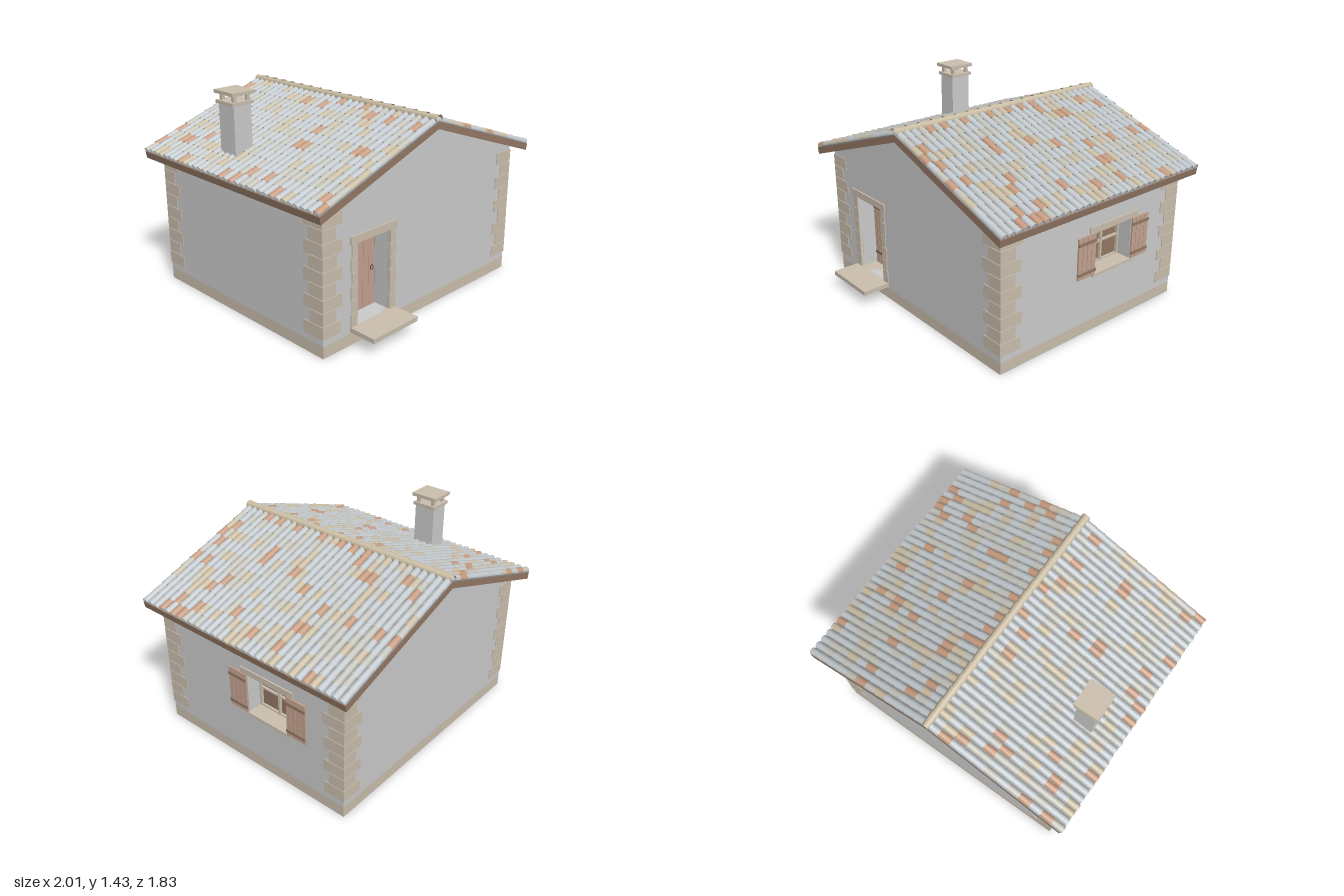
import * as THREE from 'three';
import { mergeGeometries } from 'three/addons/utils/BufferGeometryUtils.js';

const colour = (name, hex, side = THREE.FrontSide) => {
  const m = new THREE.MeshStandardMaterial({ color: hex, side });
  m.name = name;
  return m;
};

export function createModel() {
  const house = new THREE.Group();
  house.name = 'stoneCottage';
  const D = THREE.DoubleSide;
  const mat = {
    wall: colour('plaster', 0xcccccc),
    stone: colour('stone', 0xcbbfae),
    wood: colour('lightWood', 0xc3a390),
    beam: colour('darkWood', 0x947865),
    iron: colour('iron', 0x5a4c42),
    pan: colour('shadedTile', 0x8e9192),
    grey: colour('greyTile', 0xc2c8cc, D),
    warm: colour('warmGreyTile', 0xc4c3ba, D),
    tan: colour('tanTile', 0xcabda4, D),
    clay: colour('clayTile', 0xc79c80, D),
  };
  const add = (name, geo, m, parent = house) => {
    const mesh = new THREE.Mesh(geo, m);
    mesh.name = name;
    parent.add(mesh);
    return mesh;
  };
  // Box given by its limits on each axis
  const block = (x0, x1, y0, y1, z0, z1) =>
    new THREE.BoxGeometry(x1 - x0, y1 - y0, z1 - z0)
      .translate((x0 + x1) / 2, (y0 + y1) / 2, (z0 + z1) / 2);
  const box = (name, m, b, parent) => add(name, block(...b), m, parent);
  const shapeOf = (pts) => new THREE.Shape(pts.map(([x, y]) => new THREE.Vector2(x, y)));
  const rect = (x0, x1, y0, y1) => [[x0, y0], [x1, y0], [x1, y1], [x0, y1]];
  const extrude = (shape, depth) => new THREE.ExtrudeGeometry(shape, { depth, bevelEnabled: false });
  let seed = 7;
  const rand = () => (seed = (seed * 16807) % 2147483647) / 2147483647;

  // Main dimensions
  const W = 0.9, FRONT = 0.72, BACK = -0.83, T = 0.14;
  const slope = 0.345, angle = Math.atan(slope);
  const roofFront = 0.8, roofBack = -0.915, eave = 0.992;

  // Plinth and walls
  box('plinth', mat.stone, [-W, W, 0, 0.08, BACK, FRONT]);
  const gable = () => shapeOf([[-W, 0.08], [W, 0.08], [W, 0.93], [0, 1.245], [-W, 0.93]]);
  const frontShape = gable();
  frontShape.holes.push(shapeOf(rect(-0.62, -0.335, 0.12, 0.66)));
  add('frontWall', extrude(frontShape, T).translate(0, 0, FRONT - T), mat.wall);
  add('backWall', extrude(gable(), T).translate(0, 0, BACK), mat.wall);
  box('rightSideWall', mat.wall, [-W, -W + T, 0.08, 0.925, BACK + T, FRONT - T]);
  const sideShape = shapeOf(rect(-FRONT + T, -BACK - T, 0.08, 0.925));
  sideShape.holes.push(shapeOf(rect(0.05, 0.385, 0.41, 0.7)));
  add('windowWall', extrude(sideShape, T).rotateY(Math.PI / 2).translate(W - T, 0, 0), mat.wall);

  // Corner stones, alternately long and short
  const quoins = [];
  const out = 0.005, pitch = 0.0865;
  for (const sx of [-1, 1]) for (const front of [true, false]) {
    for (let i = 0; i < 9; i++) {
      const base = i % 2 ? 0.105 : 0.15;
      const lx = base + (rand() - 0.5) * 0.015, lz = base + 0.008 + (rand() - 0.5) * 0.015;
      const y = 0.123 + i * pitch;
      const x = sx < 0 ? [-W - out, -W + lx] : [W - lx, W + out];
      const z = front ? [FRONT - lz, FRONT + out] : [BACK - out, BACK + lz];
      quoins.push(block(...x, y + 0.002, y + pitch - 0.002, ...z));
    }
  }
  add('cornerStones', mergeGeometries(quoins), mat.stone);

  // Door with stone surround, planks, strap hinges and ring handle
  const door = new THREE.Group();
  door.name = 'door';
  house.add(door);
  const F = FRONT, dz = FRONT - 0.125;
  box('lintel', mat.stone, [-0.68, -0.275, 0.66, 0.71, F - 0.02, F + 0.01], door);
  box('step', mat.stone, [-0.677, -0.283, 0.09, 0.12, F - T, 0.915], door);
  for (let i = 0; i < 6; i++) {
    const y0 = 0.121 + i * 0.09, y1 = y0 + 0.087, w = i % 2 ? 0.048 : 0.055;
    box('jambStone', mat.stone, [-0.62 - w, -0.62, y0, y1, F - 0.02, F + 0.007], door);
    box('jambStone', mat.stone, [-0.335, -0.335 + w, y0, y1, F - 0.02, F + 0.007], door);
  }
  box('doorFrame', mat.beam, [-0.62, -0.335, 0.12, 0.66, dz - 0.02, dz], door);
  const planks = [];
  for (let i = 0; i < 5; i++) {
    const x = -0.606 + i * 0.0515;
    planks.push(block(x + 0.0015, x + 0.05, 0.125, 0.65, dz, dz + 0.012));
  }
  add('doorPlanks', mergeGeometries(planks), mat.wood, door);
  for (const y of [0.21, 0.56]) box('strapHinge', mat.iron, [-0.606, -0.51, y - 0.005, y + 0.005, dz + 0.012, dz + 0.017], door);
  const ring = add('ringHandle', new THREE.TorusGeometry(0.016, 0.003, 6, 16), mat.iron, door);
  ring.scale.x = 0.75;
  ring.position.set(-0.378, 0.385, dz + 0.016);

  // Window with lintel, sill, frame and panes
  const win = new THREE.Group();
  win.name = 'window';
  house.add(win);
  const wx = W - 0.11;
  box('windowLintel', mat.stone, [W - 0.02, W + 0.01, 0.7, 0.742, -0.44, 0], win);
  box('windowSill', mat.stone, [wx, W + 0.012, 0.393, 0.412, -0.41, -0.035], win);
  box('panes', mat.beam, [wx - 0.03, wx - 0.006, 0.41, 0.7, -0.385, -0.05], win);
  box('lightUpperPane', mat.stone, [wx - 0.006, wx - 0.002, 0.61, 0.69, -0.375, -0.06], win);
  for (const [z0, z1] of [[-0.385, -0.37], [-0.226, -0.21], [-0.065, -0.05]])
    box('frameUpright', mat.stone, [wx - 0.006, wx + 0.012, 0.41, 0.7, z0, z1], win);
  for (const [y0, y1] of [[0.41, 0.422], [0.548, 0.56], [0.688, 0.7]])
    box('frameRail', mat.stone, [wx - 0.006, wx + 0.01, y0, y1, -0.385, -0.05], win);

  // Open shutters
  for (const z0 of [-0.05, -0.54]) {
    const shutter = new THREE.Group();
    shutter.name = 'shutter';
    win.add(shutter);
    for (let i = 0; i < 4; i++) {
      const z = z0 + i * 0.0385;
      box('shutterPlank', mat.wood, [W + 0.001, W + 0.013, 0.412, 0.698, z + 0.001, z + 0.036], shutter);
    }
    for (const y of [0.45, 0.655])
      box('shutterBatten', mat.beam, [W + 0.012, W + 0.02, y - 0.01, y + 0.01, z0, z0 + 0.153], shutter);
  }

  // Roof boards and the shaded layer under the tiles
  const chevron = (low, high) => extrude(shapeOf([
    [-eave + 0.008, low - slope * eave], [0, low], [eave - 0.008, low - slope * eave],
    [eave, high - slope * eave], [0, high], [-eave, high - slope * eave],
  ]), roofFront - roofBack).translate(0, 0, roofBack);
  add('roofBoards', chevron(1.235, 1.281), mat.beam);
  add('tileBed', chevron(1.281, 1.287), mat.pan);

  // Tapered barrel tiles in overlapping courses, mirrored on both slopes
  const tiles = { grey: [], warm: [], tan: [], clay: [] };
  const pick = () => {
    const r = rand();
    return r < 0.56 ? 'grey' : r < 0.79 ? 'warm' : r < 0.91 ? 'tan' : 'clay';
  };
  const rows = 12, cols = 32, V = THREE.Vector3;
  const colPitch = (roofFront - roofBack) / cols, run = eave / rows;
  const c = Math.cos(angle), s = Math.sin(angle), len = run / c + 0.012;
  const barrel = new THREE.CylinderGeometry(0.021, 0.026, len, 8, 1, true, -Math.PI / 2, Math.PI);
  for (const side of [-1, 1]) {
    const up = new V(-side * c, s, 0), normal = new V(side * s, c, 0);
    const basis = new THREE.Matrix4().makeBasis(new V(0, 0, -side), up, normal);
    for (let r = 0; r < rows; r++) for (let k = 0; k < cols; k++) {
      const x = eave - run * (r + 0.5) - 0.005 + (rand() - 0.5) * 0.006;
      const m = basis.clone().setPosition(
        side * x, 1.287 - slope * x + rand() * 0.003, roofBack + (k + 0.5) * colPitch);
      tiles[pick()].push(barrel.clone().applyMatrix4(m));
    }
  }
  for (const key in tiles) add(key + 'RoofTiles', mergeGeometries(tiles[key]), mat[key]);

  // Ridge caps
  const caps = [], n = 18, step = (roofFront - roofBack) / n;
  const capBasis = new THREE.Matrix4().makeBasis(new V(1, 0, 0), new V(0, 0, -1), new V(0, 1, 0));
  for (let i = 0; i < n; i++) {
    caps.push(new THREE.CylinderGeometry(0.023, 0.03, step + 0.008, 12, 1, true, -2, 4)
      .applyMatrix4(capBasis).translate(0, 1.296, roofBack + (i + 0.5) * step));
  }
  add('ridgeCaps', mergeGeometries(caps), mat.tan);

  // Chimney
  const chimney = new THREE.Group();
  chimney.name = 'chimney';
  house.add(chimney);
  box('chimneyStack', mat.wall, [-0.805, -0.67, 0.96, 1.35, -0.31, -0.16], chimney);
  box('chimneyCollar', mat.stone, [-0.82, -0.655, 1.347, 1.368, -0.322, -0.15], chimney);
  for (const x of [-0.8, -0.695]) for (const z of [-0.305, -0.188])
    box('chimneyPost', mat.stone, [x, x + 0.025, 1.368, 1.411, z, z + 0.022], chimney);
  box('chimneyCap', mat.stone, [-0.825, -0.65, 1.411, 1.433, -0.33, -0.14], chimney);

  return house;
}
